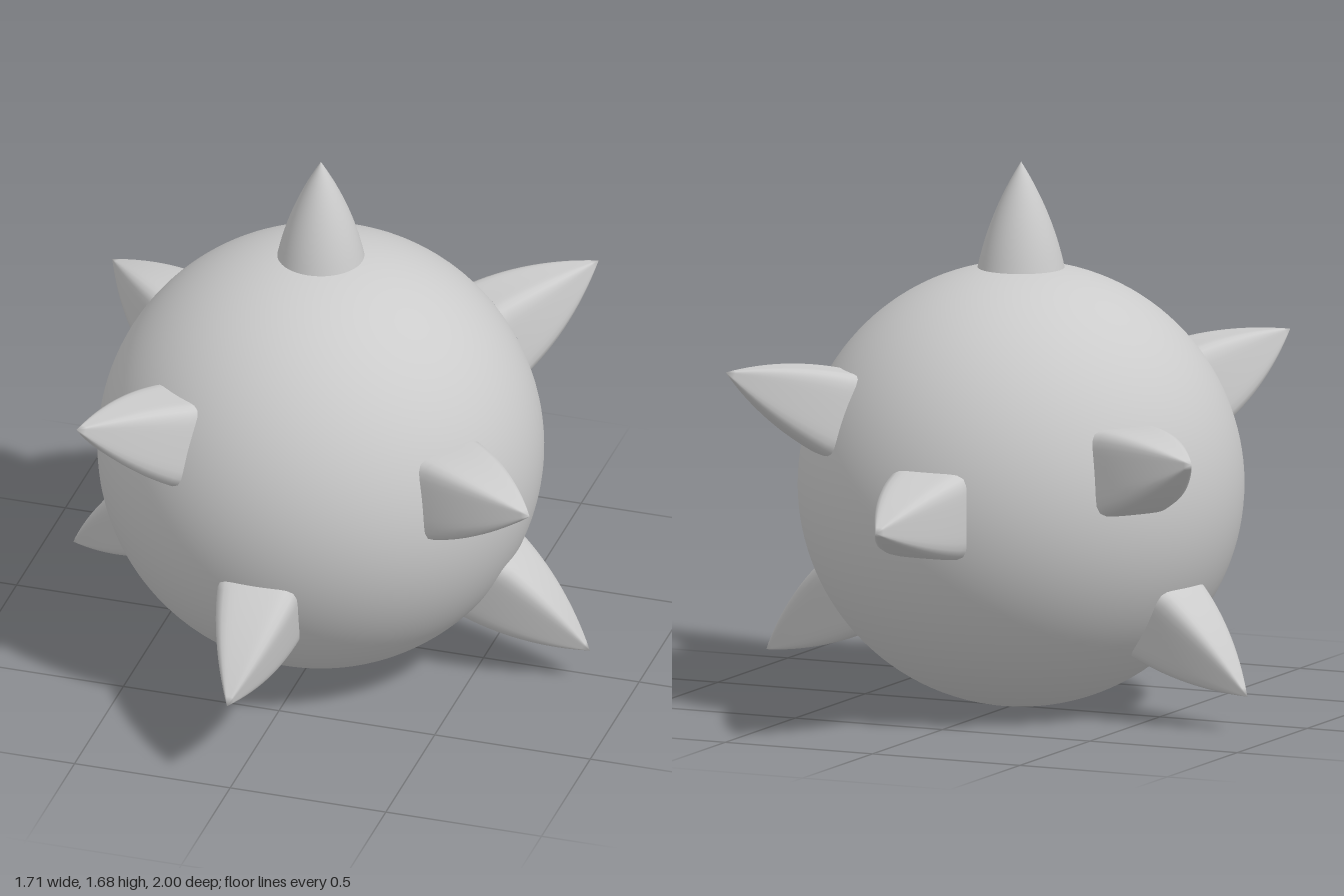
import * as THREE from 'three';

const R = 0.685;                          // ball radius
const TIP = 1.04;                         // spike tip distance from the ball centre
const HALF = THREE.MathUtils.degToRad(11.25); // half width of a spike's base
const material = new THREE.MeshStandardMaterial({ color: 0xcccccc });

// Point at a given latitude, longitude (0 = front, 90 = left) and radius
function polar(lat, lon, r) {
  return [r * Math.cos(lat) * Math.sin(lon), r * Math.sin(lat), r * Math.cos(lat) * Math.cos(lon)];
}

// Four-sided soft-edged spike: squarish rings on the ball shrinking to the tip
function spikeGeometry(latDeg, lonDeg) {
  const lat = THREE.MathUtils.degToRad(latDeg), lon = THREE.MathUtils.degToRad(lonDeg);
  const rings = 14, sides = 48, p = 7;
  const positions = [], index = [];
  for (let i = 0; i < rings; i++) {
    const t = 1 - i / rings;
    for (let j = 0; j < sides; j++) {
      const a = (j / sides) * Math.PI * 2, c = Math.cos(a), s = Math.sin(a);
      const k = t * HALF / Math.pow(Math.abs(c) ** p + Math.abs(s) ** p, 1 / p);
      positions.push(...polar(lat + s * k, lon + c * k, R + (TIP - R) * (1 - t)));
    }
  }
  positions.push(...polar(lat, lon, TIP));
  const tip = rings * sides;
  for (let i = 0; i < rings; i++) {
    for (let j = 0; j < sides; j++) {
      const a = i * sides + j, b = i * sides + (j + 1) % sides;
      if (i === rings - 1) index.push(a, b, tip);
      else index.push(a, b, a + sides, b, b + sides, a + sides);
    }
  }
  const geometry = new THREE.BufferGeometry();
  geometry.setAttribute('position', new THREE.Float32BufferAttribute(positions, 3));
  geometry.setIndex(index);
  geometry.computeVertexNormals();
  return geometry;
}

// Round spike on the pole, turned from a profile
function topSpikeGeometry() {
  const profile = [];
  for (let i = 0; i <= 12; i++) {
    const t = 1 - i / 12, r = R + (1.0 - R) * (1 - t);
    profile.push(new THREE.Vector2(r * Math.sin(t * HALF), r * Math.cos(t * HALF)));
  }
  return new THREE.LatheGeometry(profile, 48);
}

export function createModel() {
  const model = new THREE.Group();
  model.name = 'spikedBall';
  const add = (name, geometry) => {
    const mesh = new THREE.Mesh(geometry, material);
    mesh.name = name;
    mesh.position.set(-0.01, R, 0.04);
    model.add(mesh);
  };

  add('ball', new THREE.SphereGeometry(R, 96, 64));
  add('topSpike', topSpikeGeometry());

  // Spikes around the ball: name, latitude, longitude
  const spikes = [
    ['frontSpike', -22.5, 0],
    ['backSpike', 0, 180],
    ['frontLeftSpike', 11.25, 56.25],
    ['lowerLeftSpike', -33.75, 90],
    ['backLeftSpike', 22.5, 135],
    ['frontRightSpike', 22.5, -33.75],
    ['lowerRightSpike', -33.75, -101.25],
    ['backRightSpike', 11.25, -123.75],
  ];
  for (const [name, lat, lon] of spikes) add(name, spikeGeometry(lat, lon));
  return model;
}
